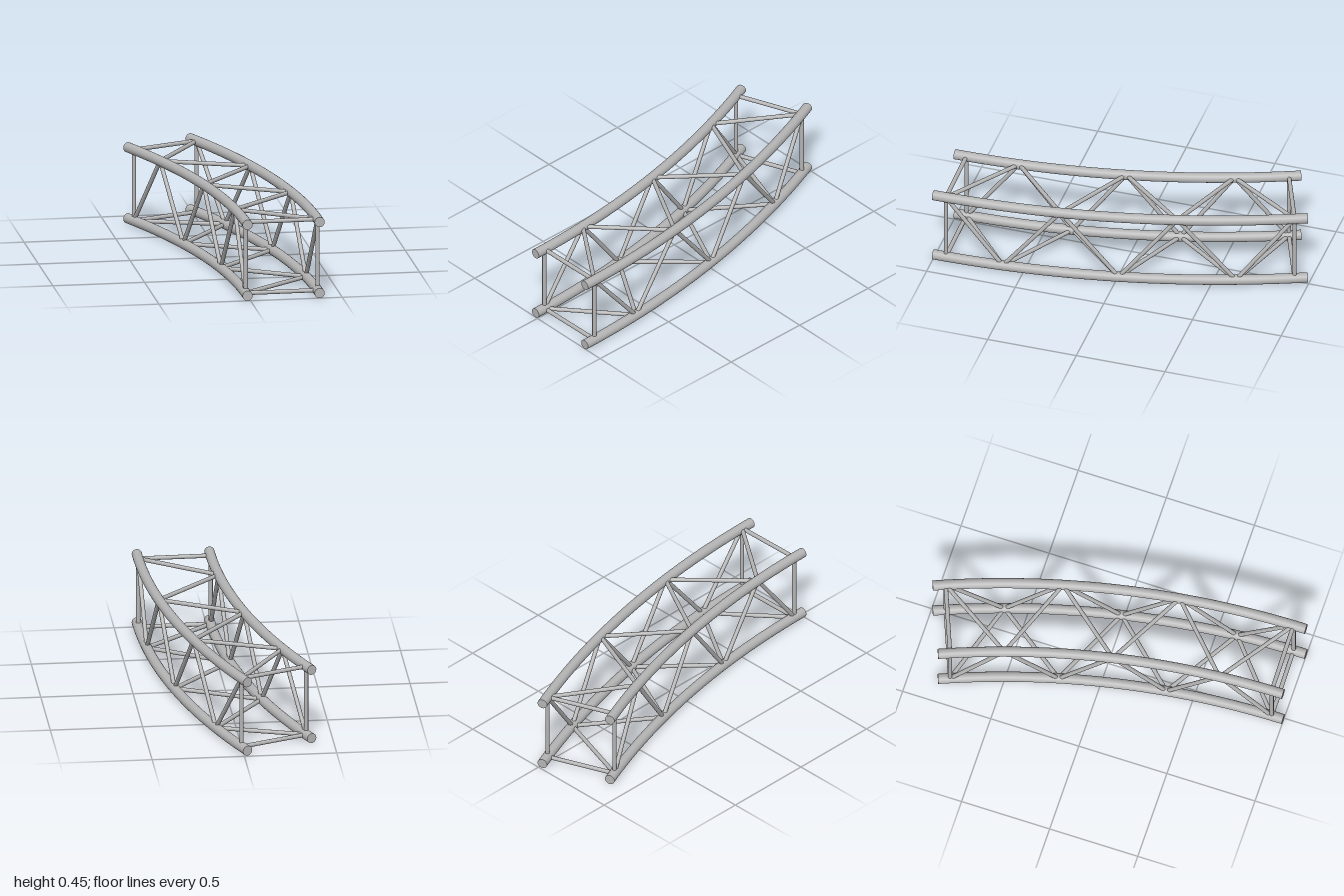
import * as THREE from 'three';

const SWEEP = Math.PI / 8;            // the truss bends through 22.5 degrees
const CENTRE_X = -4.821;              // bend centre at (CENTRE_X, z = 1)
const RADII = { inner: 4.805, outer: 5.198 };
const LEVELS = { bottom: 0.0275, top: 0.4215 };
const CHORD_R = 0.0275;
const BRACE_R = 0.0115;
const BAYS = 6;
const END_INSET = 0.0136;             // angle from chord end to first node

function arcPoint(radius, angle, y) {
  return new THREE.Vector3(CENTRE_X + radius * Math.cos(angle), y, 1 - radius * Math.sin(angle));
}

class ChordCurve extends THREE.Curve {
  constructor(radius, y) {
    super();
    this.radius = radius;
    this.y = y;
  }
  getPoint(t, target = new THREE.Vector3()) {
    return target.copy(arcPoint(this.radius, t * SWEEP, this.y));
  }
}

export function createModel() {
  const model = new THREE.Group();
  model.name = 'curvedBoxTruss';
  const steel = new THREE.MeshStandardMaterial({ color: 0xb4b4b4 });
  steel.name = 'greySteel';

  function add(geometry, name, parent) {
    const mesh = new THREE.Mesh(geometry, steel);
    mesh.name = name;
    parent.add(mesh);
    return mesh;
  }

  // Four curved main tubes with flat end caps
  for (const [side, radius] of Object.entries(RADII)) {
    for (const [level, y] of Object.entries(LEVELS)) {
      const chord = new THREE.Group();
      chord.name = `${level}${side === 'inner' ? 'Inner' : 'Outer'}Chord`;
      add(new THREE.TubeGeometry(new ChordCurve(radius, y), 32, CHORD_R, 24), 'chordTube', chord);
      for (const [angle, turn] of [[0, 0], [SWEEP, Math.PI + SWEEP]]) {
        const cap = add(new THREE.CircleGeometry(CHORD_R, 24), 'chordCap', chord);
        cap.position.copy(arcPoint(radius, angle, y));
        cap.rotation.y = turn;
      }
      model.add(chord);
    }
  }

  // Node k on a chord, evenly spaced along the bend
  function node(side, level, k) {
    const angle = END_INSET + (k / BAYS) * (SWEEP - 2 * END_INSET);
    return arcPoint(RADII[side], angle, LEVELS[level]);
  }

  // Thin straight rod between two nodes
  function brace(a, b, name) {
    const dir = b.clone().sub(a);
    const rod = add(new THREE.CylinderGeometry(BRACE_R, BRACE_R, dir.length(), 16, 1, true), name, model);
    rod.position.copy(a).add(b).multiplyScalar(0.5);
    rod.quaternion.setFromUnitVectors(new THREE.Vector3(0, 1, 0), dir.normalize());
  }

  // Rectangular frames at both ends
  for (const k of [0, BAYS]) {
    for (const side of ['inner', 'outer']) {
      brace(node(side, 'bottom', k), node(side, 'top', k), 'endPost');
    }
    for (const level of ['bottom', 'top']) {
      brace(node('inner', level, k), node('outer', level, k), 'endCrossbar');
    }
  }

  // Zigzag diagonals on the four faces, meeting at shared nodes
  for (let k = 0; k < BAYS; k++) {
    const even = k % 2 === 0;
    const zigzag = (from, to, name) => {
      const [a, b] = even ? [from, to] : [to, from];
      brace(node(...a, k), node(...b, k + 1), name);
    };
    zigzag(['inner', 'bottom'], ['inner', 'top'], 'innerDiagonal');
    zigzag(['outer', 'top'], ['outer', 'bottom'], 'outerDiagonal');
    zigzag(['outer', 'top'], ['inner', 'top'], 'topDiagonal');
    zigzag(['inner', 'bottom'], ['outer', 'bottom'], 'bottomDiagonal');
  }

  return model;
}
